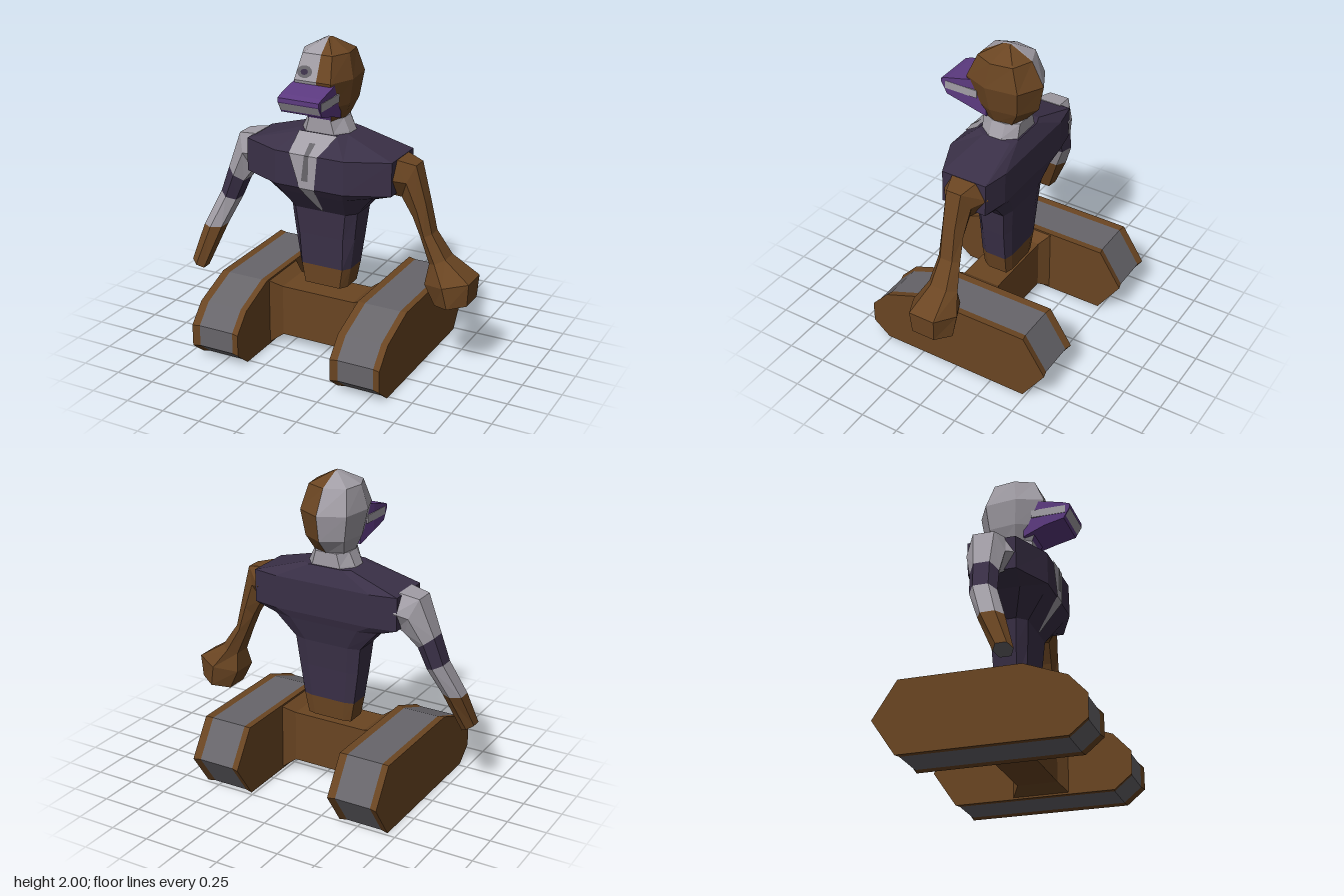
import * as THREE from 'three';

const CX = -0.05; // centre line of the body
const paint = (name, color) => {
  const m = new THREE.MeshStandardMaterial({ color });
  m.name = name;
  return m;
};

// Faceted skin over a list of equal-length rings; pick(i, j) gives the material index,
// with i = -1 for the first cap and i = rings.length - 1 for the last.
function loft(name, rings, mats, pick = () => 0) {
  const n = rings[0].length, faces = [];
  const mid = r => r.reduce((s, p) => s.add(p), new THREE.Vector3()).divideScalar(n);
  const first = mid(rings[0]), end = rings.length - 1, last = mid(rings[end]);
  for (let j = 0; j < n; j++) {
    const k = (j + 1) % n;
    for (let i = 0; i < end; i++) {
      const a = rings[i][j], b = rings[i][k], c = rings[i + 1][k], d = rings[i + 1][j];
      faces.push([pick(i, j), a, b, c], [pick(i, j), a, c, d]);
    }
    faces.push([pick(-1, j), first, rings[0][k], rings[0][j]]);
    faces.push([pick(end, j), last, rings[end][j], rings[end][k]]);
  }
  // turn the skin outward if its enclosed volume is negative
  const volume = faces.reduce((s, [, a, b, c]) => s + a.dot(b.clone().cross(c)), 0);
  faces.sort((a, b) => a[0] - b[0]);
  const pts = faces.flatMap(([, a, b, c]) => (volume < 0 ? [a, c, b] : [a, b, c]));
  const geo = new THREE.BufferGeometry().setFromPoints(pts);
  faces.forEach(([m], i) => {
    const g = geo.groups[geo.groups.length - 1];
    if (g && g.materialIndex === m) g.count += 3;
    else geo.addGroup(i * 3, 3, m);
  });
  geo.computeVertexNormals();
  const mesh = new THREE.Mesh(geo, mats);
  mesh.name = name;
  return mesh;
}

const V = (x, y, z) => new THREE.Vector3(x, y, z);

// Ring in a plane of constant y from half an outline, mirrored about the centre line
const mirrored = (y, half) => [
  ...half.map(([x, z]) => V(CX + x, y, z)),
  ...half.slice().reverse().map(([x, z]) => V(CX - x, y, z)),
];

// Six-sided arm section between an outer and an inner point
const armRing = ([ox, oy, ix, iy, z, h]) => {
  const mx = (ox + ix) / 2, my = (oy + iy) / 2;
  return [V(ox, oy, z + h * 0.55), V(mx, my, z + h), V(ix, iy, z + h * 0.55),
    V(ix, iy, z - h * 0.55), V(mx, my, z - h), V(ox, oy, z - h * 0.55)];
};

// Strip of rows [y, z, left x, right x] facing forward
function strip(name, rows, mat) {
  const pts = [];
  for (let i = 0; i < rows.length - 1; i++) {
    const [y, z, l, r] = rows[i], [y2, z2, l2, r2] = rows[i + 1];
    const a = V(l, y, z), b = V(r, y, z), c = V(l2, y2, z2), d = V(r2, y2, z2);
    pts.push(a, c, b, b, c, d);
  }
  const geo = new THREE.BufferGeometry().setFromPoints(pts);
  geo.computeVertexNormals();
  const mesh = new THREE.Mesh(geo, mat);
  mesh.name = name;
  return mesh;
}

export function createModel() {
  const brown = paint('brown', 0x6a4522);
  const dark = paint('dark violet', 0x3a3047);
  const pale = paint('pale grey', 0xa29ea6);
  const grey = paint('tread grey', 0x67656a);
  const purple = paint('purple', 0x5c3a80);
  const model = new THREE.Group();

  // Tracks: side profile swept across x, with a slightly sunken tread
  const profile = [[0.63, 0.09], [0.63, 0.23], [0.52, 0.35], [0.26, 0.45],
    [-0.48, 0.45], [-0.63, 0.22], [-0.48, 0], [0.52, 0]];
  for (const side of [-1, 1]) {
    const cx = -0.048 + side * 0.48;
    const rings = [[-0.163, 1], [-0.117, 0.98], [0.117, 0.98], [0.163, 1]].map(([x, s]) =>
      profile.map(([z, y]) => V(cx + x, 0.225 + (y - 0.225) * s, z * s)));
    model.add(loft(side < 0 ? 'rightTrack' : 'leftTrack', rings, [brown, grey],
      i => (i === 1 ? 1 : 0)));
  }

  // Axle block flaring into the tracks
  const axle = [[-0.367, 0.01, 0.44, -0.11, 0.24], [-0.295, 0.06, 0.395, -0.06, 0.19],
    [0.2, 0.06, 0.395, -0.06, 0.19], [0.272, 0.01, 0.44, -0.11, 0.24]]
    .map(([x, y0, y1, z0, z1]) => [V(x, y0, z0), V(x, y0, z1), V(x, y1, z1), V(x, y1, z0)]);
  model.add(loft('axle', axle, [brown]));

  // Torso rows: y, half width, front corner x, front z, back z
  const torso = [
    [0.43, 0.15, 0.12, 0.12, -0.07], [0.56, 0.175, 0.14, 0.125, -0.08],
    [0.77, 0.205, 0.15, 0.135, -0.09], [0.94, 0.225, 0.17, 0.145, -0.105],
    [1.08, 0.35, 0.21, 0.253, -0.14], [1.13, 0.49, 0.23, 0.29, -0.155],
    [1.34, 0.49, 0.23, 0.285, -0.16], [1.44, 0.165, 0.12, 0.155, -0.115],
  ].map(([y, w, f, zf, zb]) => mirrored(y, [[f, zf], [w, zf * 0.6], [w, zb * 0.8], [w * 0.66, zb]]));
  model.add(loft('torso', torso, [dark, brown], i => (i < 1 ? 1 : 0)));

  // Bib and the darker tie on it
  model.add(strip('bib', [[1.445, 0.163, -0.18, 0.08], [1.34, 0.293, -0.18, 0.01],
    [1.13, 0.297, -0.11, -0.01], [1.07, 0.251, -0.09, -0.015], [0.945, 0.155, -0.035, -0.02]], pale));
  model.add(strip('tie', [[1.4, 0.226, -0.075, -0.035], [1.34, 0.297, -0.075, -0.045],
    [1.18, 0.3, -0.095, -0.05]], grey));

  // Neck
  const neck = [[1.42, 0.17], [1.45, 0.155], [1.53, 0.118]].map(([y, w]) =>
    mirrored(y, [[w * 0.6, 0.145], [w, 0.06], [w, -0.03], [w * 0.6, -0.105]]));
  model.add(loft('neck', neck, [pale]));

  // Head: pale on its right half, brown on its left, purple chin
  const head = [[1.52, 0.115, 0.14, -0.1], [1.62, 0.155, 0.19, -0.19], [1.78, 0.185, 0.235, -0.22],
    [1.93, 0.15, 0.17, -0.14], [2, 0.02, 0.05, 0]].map(([y, w, f, b]) => {
    const half = [[w * 0.65, f], [w, f * 0.3], [w * 0.85, b * 0.62]];
    const p = mirrored(y, half);
    return [V(CX + Math.min(0.025, w * 0.5), y, f), ...p.slice(0, 3), V(CX, y, b), ...p.slice(3)];
  });
  model.add(loft('head', head, [brown, pale, purple], (i, j) =>
    (i === 0 && (j === 0 || j === 7) ? 2 : j > 3 ? 1 : 0)));

  // Beak: sections along z, with teeth as thin plates
  const beak = [[0.1, 1.54, 1.79, 0.12], [0.24, 1.59, 1.76, 0.135],
    [0.365, 1.62, 1.73, 0.135], [0.405, 1.69, 1.715, 0.135]].map(([z, y0, y1, w]) =>
    [V(CX - w, y0, z), V(CX + w, y0, z), V(CX + w, y1, z), V(CX - w, y1, z)]);
  model.add(loft('beak', beak, [purple]));
  for (const side of [-1, 1]) {
    const teeth = new THREE.Mesh(new THREE.BoxGeometry(0.008, 0.05, 0.22), pale);
    teeth.position.set(CX + side * 0.134, 1.682, 0.265);
    teeth.name = side < 0 ? 'rightTeeth' : 'leftTeeth';
    model.add(teeth);
  }
  model.add(strip('frontTeeth', [[1.685, 0.407, -0.18, 0.08], [1.635, 0.378, -0.18, 0.08]], pale));

  // Eye on the pale half
  [[0.05, 0.216, grey, 'eyeRing'], [0.024, 0.219, dark, 'pupil']].forEach(([r, z, mat, name]) => {
    const eye = new THREE.Mesh(new THREE.CircleGeometry(r, 12), mat);
    eye.position.set(-0.11, 1.83, z);
    eye.rotation.x = -0.41;
    eye.scale.y = 0.75;
    eye.name = name;
    model.add(eye);
  });

  // Right arm: outer x, y, inner x, y, centre z, half depth
  const rightArm = [
    [-0.52, 1.35, -0.52, 1.13, 0.02, 0.155], [-0.65, 1.33, -0.56, 1.1, 0.01, 0.12],
    [-0.735, 1.09, -0.63, 1.01, 0.03, 0.09], [-0.79, 0.92, -0.685, 0.875, 0.045, 0.085],
    [-0.88, 0.7, -0.755, 0.7, 0.12, 0.08], [-0.925, 0.48, -0.845, 0.43, 0.215, 0.06],
  ].map(armRing);
  model.add(loft('rightArm', rightArm, [pale, dark, brown, grey],
    i => (i === 2 ? 1 : i === 4 ? 2 : i === 5 ? 3 : 0)));

  // Left arm ending in a heavy fist
  const leftArm = [
    [0.43, 1.34, 0.41, 1.12, 0.02, 0.155], [0.55, 1.31, 0.46, 1.1, 0.02, 0.09],
    [0.61, 1.09, 0.53, 0.98, 0.02, 0.075], [0.655, 0.89, 0.58, 0.86, 0.015, 0.075],
    [0.75, 0.745, 0.645, 0.7, 0.01, 0.1], [0.92, 0.635, 0.635, 0.58, 0.02, 0.155],
    [0.91, 0.49, 0.7, 0.45, 0.02, 0.14],
  ].map(armRing);
  model.add(loft('leftArm', leftArm, [brown]));

  return model;
}
